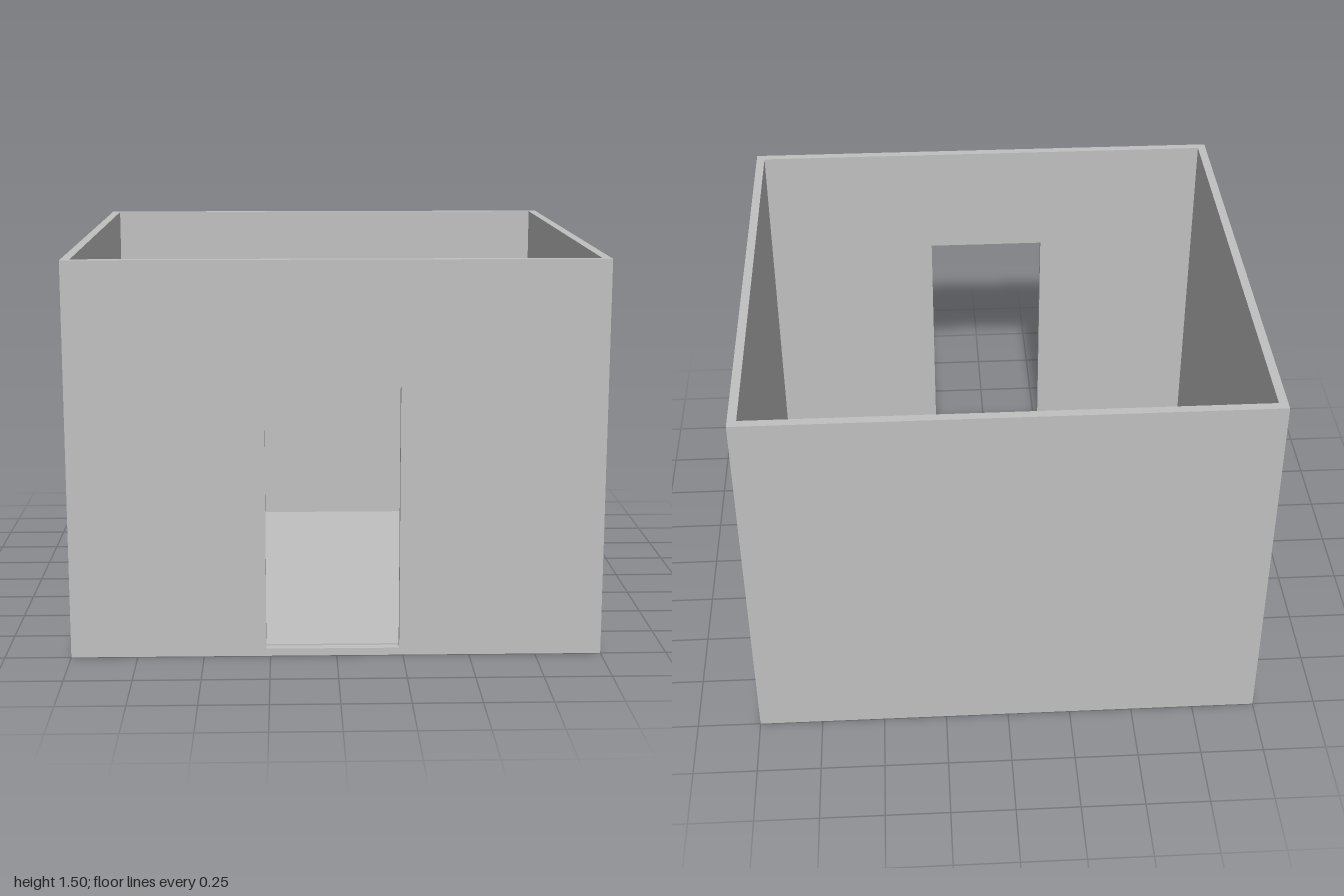
import * as THREE from 'three';

const W = 2, H = 1.5, T = 0.034; // outer width and depth, height, wall and floor thickness
const DOOR = { left: -0.266, right: 0.236, bottom: 0.028, top: 1.032 };

export function createModel() {
  const group = new THREE.Group();
  group.name = 'openRoom';
  const plaster = new THREE.MeshStandardMaterial({ color: 0xc0c0c0 });
  plaster.name = 'grey plaster';

  const add = (name, geometry, x, y, z) => {
    const mesh = new THREE.Mesh(geometry, plaster);
    mesh.name = name;
    mesh.position.set(x, y, z);
    group.add(mesh);
  };

  // Front wall with the doorway cut through it, leaving a low sill
  const wall = new THREE.Shape([
    new THREE.Vector2(-W / 2, 0), new THREE.Vector2(W / 2, 0),
    new THREE.Vector2(W / 2, H), new THREE.Vector2(-W / 2, H),
  ]);
  wall.holes.push(new THREE.Path([
    new THREE.Vector2(DOOR.left, DOOR.bottom), new THREE.Vector2(DOOR.left, DOOR.top),
    new THREE.Vector2(DOOR.right, DOOR.top), new THREE.Vector2(DOOR.right, DOOR.bottom),
  ]));
  add('frontWall', new THREE.ExtrudeGeometry(wall, { depth: T, bevelEnabled: false }), 0, 0, W / 2 - T);

  // Back wall, and side walls fitted between front and back
  const inner = W - 2 * T;
  add('backWall', new THREE.BoxGeometry(W, H, T), 0, H / 2, -W / 2 + T / 2);
  for (const [name, side] of [['leftWall', 1], ['rightWall', -1]]) {
    add(name, new THREE.BoxGeometry(T, H, inner), side * (W / 2 - T / 2), H / 2, 0);
  }

  // Floor slab, slightly higher than the door sill
  add('floor', new THREE.BoxGeometry(inner, T, inner), 0, T / 2, 0);

  return group;
}
